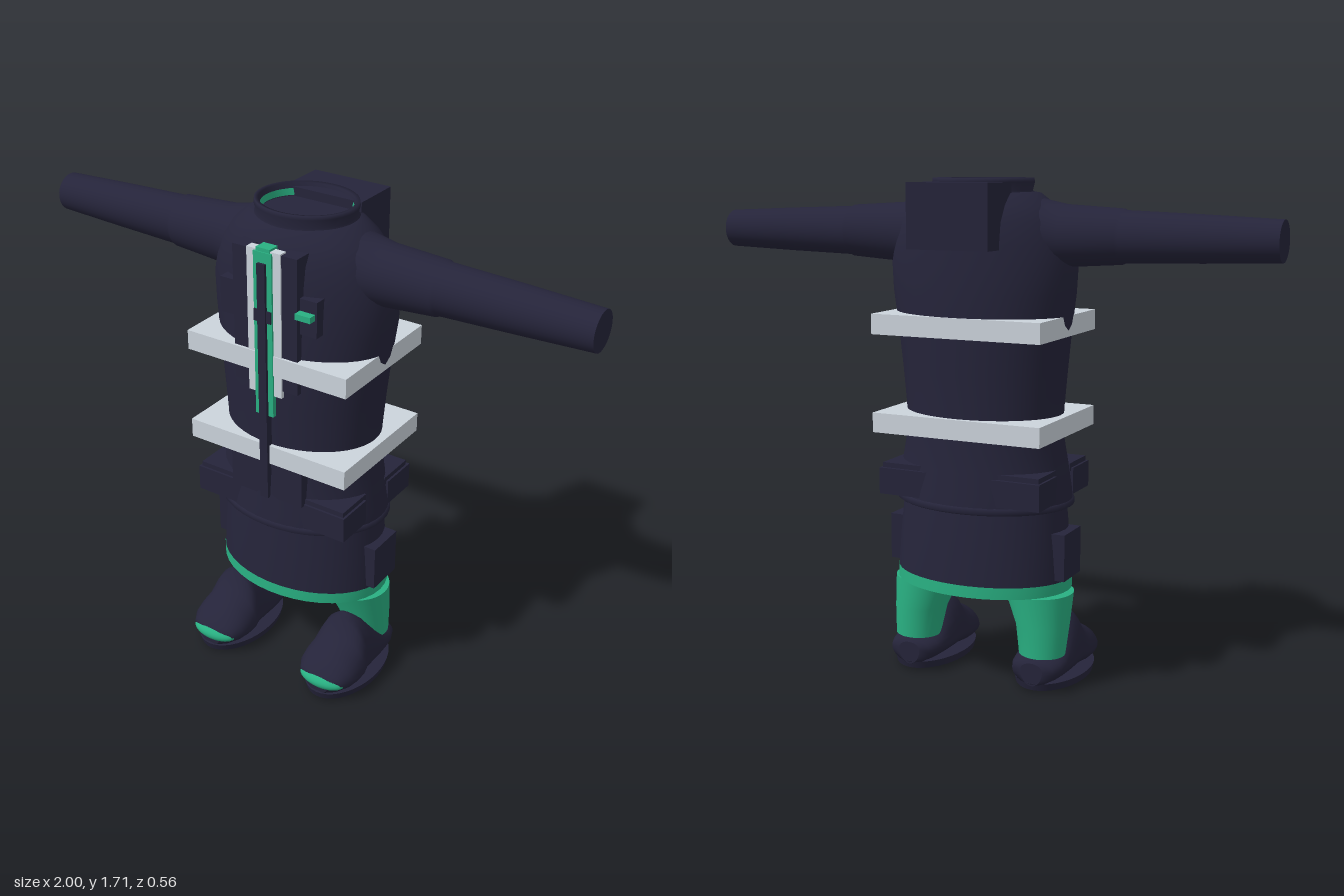
import * as THREE from 'three';

const mat = (name, color, side = THREE.FrontSide) => {
  const m = new THREE.MeshStandardMaterial({ color, side });
  m.name = name;
  return m;
};

// Skins a list of rings; point(section, angle) gives each ring's points.
function loft(sections, point, { n = 40, caps = true } = {}) {
  const pos = [], idx = [];
  const rings = sections.map(s =>
    Array.from({ length: n }, (_, j) => point(s, (j / n) * Math.PI * 2)));
  rings.forEach(r => r.forEach(p => pos.push(...p)));
  for (let i = 0; i < rings.length - 1; i++) {
    for (let j = 0; j < n; j++) {
      const k = (j + 1) % n, a = i * n + j, b = i * n + k;
      idx.push(a, b, b + n, a, b + n, a + n);
    }
  }
  if (caps) {
    [[rings[0], true], [rings[rings.length - 1], false]].forEach(([ring, flip]) => {
      const base = pos.length / 3;
      ring.forEach(p => pos.push(...p));
      const c = [0, 1, 2].map(k => ring.reduce((s, p) => s + p[k], 0) / n);
      pos.push(...c);
      for (let j = 0; j < n; j++) {
        const a = base + j, b = base + (j + 1) % n;
        idx.push(...(flip ? [b, a, base + n] : [a, b, base + n]));
      }
    });
  }
  const g = new THREE.BufferGeometry();
  g.setAttribute('position', new THREE.Float32BufferAttribute(pos, 3));
  g.setIndex(idx);
  g.computeVertexNormals();
  return g;
}

// Section rules: upright [y, rx, rz, cz, cx], arm [x, radius, cy, cz], boot [z, width, top]
const upright = ([y, rx, rz, cz = 0, cx = 0], t) =>
  [cx + Math.cos(t) * rx, y, cz - Math.sin(t) * rz];
const sideways = ([x, r, cy, cz], t) =>
  [x, cy + Math.cos(t) * r, cz + Math.sin(t) * r];
const bootRule = ([z, w, top], t) => {
  const s = Math.sin(t);
  return [Math.cos(t) * w, 0.08 + s * (s > 0 ? top - 0.08 : 0.055), z];
};

export function createModel() {
  const model = new THREE.Group();
  model.name = 'coatOutfit';
  const dark = mat('dark navy cloth', 0x25243a);
  const darkOpen = dark; // solid cloth parts
  const lining = mat('dark navy open cloth', 0x25243a, THREE.DoubleSide);
  const green = mat('green', 0x29b082, THREE.DoubleSide);
  const grey = mat('pale grey', 0xccd4dc);

  const add = (name, geo, material, parent = model) => {
    const m = new THREE.Mesh(geo, material);
    m.name = name;
    parent.add(m);
    return m;
  };
  // Box given by its minimum and maximum on each axis
  const box = (name, [x0, x1], [y0, y1], [z0, z1], material) => {
    const m = add(name, new THREE.BoxGeometry(x1 - x0, y1 - y0, z1 - z0), material);
    m.position.set((x0 + x1) / 2, (y0 + y1) / 2, (z0 + z1) / 2);
    return m;
  };
  const mirrored = (a, b, s) => (s > 0 ? [a, b] : [-b, -a]);

  // Jacket body
  add('jacket', loft([
    [0.63, 0.312, 0.238, -0.003], [0.68, 0.308, 0.234, -0.003], [0.76, 0.295, 0.225, -0.003],
    [0.87, 0.275, 0.215, -0.003], [0.95, 0.278, 0.214, -0.004], [1.08, 0.29, 0.217, -0.005],
    [1.22, 0.305, 0.221, -0.008], [1.34, 0.322, 0.218, -0.012], [1.43, 0.328, 0.212, -0.012],
    [1.5, 0.315, 0.208, -0.012], [1.57, 0.29, 0.2, -0.012], [1.62, 0.25, 0.178, -0.012],
    [1.66, 0.195, 0.152, -0.012], [1.665, 0.16, 0.14, -0.012],
  ], upright, { n: 48 }), darkOpen);
  add('jacketHem', loft([
    [0.625, 0.308, 0.236, -0.003], [0.63, 0.317, 0.242, -0.003],
    [0.645, 0.317, 0.242, -0.003], [0.65, 0.308, 0.236, -0.003],
  ], upright), dark);

  // Collar with a thin green lining
  add('collar', loft([
    [1.64, 0.182, 0.152, -0.015], [1.66, 0.178, 0.154, -0.015], [1.667, 0.165, 0.148, -0.015],
    [1.695, 0.172, 0.154, -0.015], [1.708, 0.17, 0.152, -0.015], [1.706, 0.157, 0.139, -0.015],
    [1.66, 0.15, 0.133, -0.015],
  ], upright, { caps: false }), lining);
  add('collarLining', loft([
    [1.668, 0.149, 0.132, -0.015], [1.69, 0.152, 0.135, -0.015],
  ], upright, { caps: false }), green);

  // Reflective belts
  [[0.87, 0.937], [1.2, 1.268]].forEach(y =>
    box('reflectiveBand', [-0.305, 0.305], y, [-0.235, 0.224], grey));

  // Skirt of the coat, open at the bottom
  add('skirt', loft([
    [0.38, 0.314, 0.226, -0.008], [0.5, 0.306, 0.219, -0.007], [0.64, 0.292, 0.208, -0.005],
  ], upright, { caps: false }), lining);
  add('skirtTrim', loft([
    [0.34, 0.316, 0.228, -0.008], [0.38, 0.316, 0.227, -0.008],
  ], upright, { caps: false }), green);
  add('skirtInside', loft([
    [0.345, 0.308, 0.22, -0.008], [0.6, 0.288, 0.204, -0.005],
  ], upright, { caps: false }), lining);

  // Front closure: storm flap, reflective strip, green strip and zip
  [1, -1].forEach(s => {
    box('flapEdge', mirrored(0.06, 0.12, s), [1.15, 1.61], [0.15, 0.215], dark);
    box('chestPocket', mirrored(0.115, 0.182, s), [1.36, 1.48], [0.14, 0.2], dark);
    box('frontPanel', mirrored(0.02, 0.14, s), [0.74, 0.87], [0.18, 0.222], dark);
  });
  box('flapStrip', [-0.063, 0.063], [1.125, 1.615], [0.19, 0.22], grey);
  box('zipBacking', [-0.034, 0.034], [1.05, 1.61], [0.185, 0.226], green);
  box('zipTop', [-0.026, 0.026], [1.59, 1.622], [0.18, 0.222], green);
  box('zip', [-0.015, 0.015], [0.74, 1.575], [0.2, 0.236], dark);
  box('zipPull', [-0.032, 0.032], [1.38, 1.42], [0.2, 0.231], dark);
  box('chestTag', [0.12, 0.176], [1.42, 1.44], [0.18, 0.228], green);

  // Hood folded at the back
  box('foldedHood', [-0.144, 0.144], [1.485, 1.695], [-0.278, -0.105], dark);

  [1, -1].forEach(s => {
    // Sleeve
    const arm = add(s > 0 ? 'leftSleeve' : 'rightSleeve', loft([
      [0.16, 0.14, 1.52, -0.012], [0.23, 0.115, 1.525, -0.012], [0.3, 0.1, 1.526, -0.013],
      [0.49, 0.088, 1.527, -0.014], [0.5, 0.083, 1.527, -0.014], [0.75, 0.075, 1.526, -0.015],
      [1, 0.065, 1.525, -0.015],
    ], sideways, { n: 32 }), dark);
    arm.scale.x = s;

    // Pockets
    [[0.07, 0.208], [-0.212, -0.07]].forEach(z =>
      box('hipPocket', mirrored(0.115, 0.296, s), [0.655, 0.745], z, dark));
    [[0.06, 0.2], [-0.2, -0.06]].forEach(z =>
      box('hipPocketFlap', mirrored(0.14, 0.288, s), [0.735, 0.762], z, dark));
    box('sidePocket', mirrored(0.27, 0.33, s), [0.39, 0.55], [-0.08, 0.06], dark);

    // Leg and boot
    const leg = new THREE.Group();
    leg.name = s > 0 ? 'leftLeg' : 'rightLeg';
    leg.position.x = 0.235 * s;
    leg.scale.x = s;
    model.add(leg);
    add('trouser', loft([
      [0.12, 0.08, 0.075, -0.05, 0.005], [0.22, 0.092, 0.092, -0.035], [0.33, 0.118, 0.116, -0.015, -0.022],
    ], upright, { n: 32 }), green, leg);
    add('boot', loft([
      [-0.13, 0.04, 0.105], [-0.12, 0.075, 0.12], [-0.08, 0.092, 0.125], [-0.045, 0.097, 0.14],
      [0, 0.1, 0.19], [0.05, 0.1, 0.245], [0.09, 0.1, 0.263], [0.108, 0.105, 0.245],
      [0.13, 0.112, 0.192], [0.17, 0.113, 0.172], [0.21, 0.106, 0.152],
      [0.245, 0.085, 0.12], [0.265, 0.045, 0.09],
    ], bootRule, { n: 32 }), dark, leg);
    const sole = add('sole', new THREE.CylinderGeometry(1, 0.96, 0.026, 40), dark, leg);
    sole.scale.set(0.125, 1, 0.203);
    sole.position.set(0, 0.022, 0.071);
    const base = add('soleBase', new THREE.CylinderGeometry(1, 1, 0.012, 40), dark, leg);
    base.scale.set(0.1, 1, 0.16);
    base.position.set(0, 0.006, 0.071);
    const toe = add('toeCap', new THREE.SphereGeometry(1, 28, 16), green, leg);
    toe.scale.set(0.09, 0.032, 0.047);
    toe.position.set(0, 0.072, 0.23);
  });

  return model;
}
